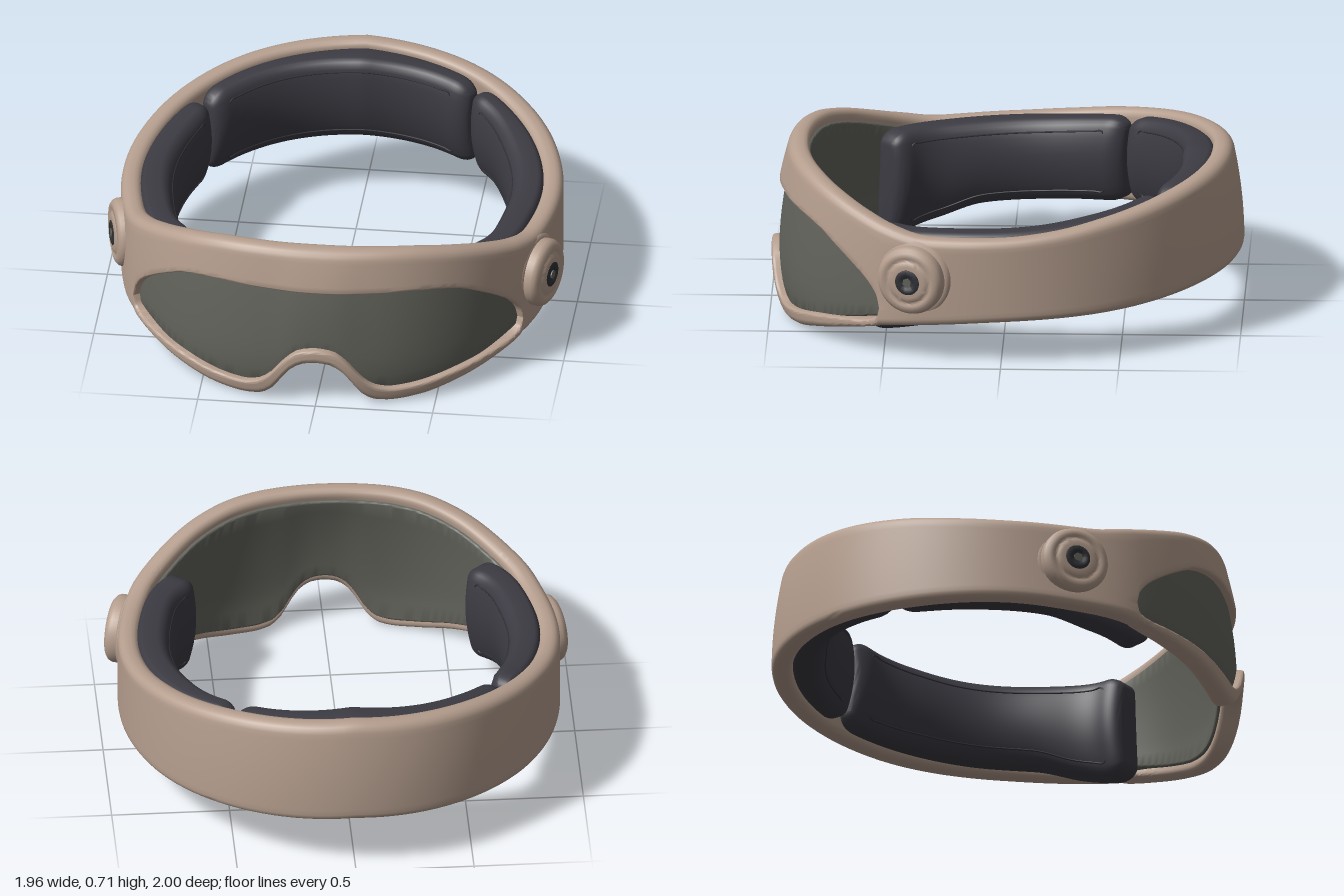
import * as THREE from 'three';
import { mergeGeometries, toCreasedNormals } from 'three/addons/utils/BufferGeometryUtils.js';

const RAD = Math.PI / 180;
const OPEN_END = 58; // half angle of the visor opening, in degrees from the front

// Smooth monotone lookup in a table of [degrees, value]
function lookup(table, a) {
  const n = table.length;
  if (a <= table[0][0]) return table[0][1];
  if (a >= table[n - 1][0]) return table[n - 1][1];
  let i = 0;
  while (table[i + 1][0] < a) i++;
  const slope = (k) => (table[k + 1][1] - table[k][1]) / (table[k + 1][0] - table[k][0]);
  const tangent = (k) => {
    if (k === 0) return 0;
    if (k === n - 1) return slope(n - 2);
    const p = slope(k - 1), q = slope(k);
    return p * q <= 0 ? 0 : (2 * p * q) / (p + q);
  };
  const h = table[i + 1][0] - table[i][0], t = (a - table[i][0]) / h;
  return (1 + 2 * t) * (1 - t) ** 2 * table[i][1] + t * (1 - t) ** 2 * h * tangent(i)
    + t * t * (3 - 2 * t) * table[i + 1][1] + t * t * (t - 1) * h * tangent(i + 1);
}

// Angle folded to 0 (front) .. 180 (back)
const fold = (a) => Math.abs(((a + 540) % 360) - 180);
const curve = (table) => (a) => lookup(table, fold(a));

const bandBottom = curve([[0, .2], [3, .193], [6, .165], [8.7, .11], [11.5, .045], [15, .008], [19, 0], [26, .01],
  [37, .05], [51, .105], [60, .135], [75, .16], [90, .18], [120, .2], [150, .23], [180, .255]]);
const bandTop = curve([[0, .71], [15, .706], [25, .695], [37, .66], [51, .6], [58, .57], [70, .535], [90, .545],
  [105, .568], [120, .605], [150, .67], [180, .705]]);
const openTop = curve([[0, .525], [23, .52], [30, .51], [37, .485], [44, .43], [50, .37], [54, .32], [57, .26], [58, .21]]);
const openBottom = curve([[0, .265], [4, .255], [6, .235], [8.7, .19], [11.5, .13], [15, .085], [19, .07], [24, .075],
  [37, .11], [48, .135], [54, .148], [57, .17], [58, .21]]);
const closedSplit = curve([[58, .21], [70, .3], [90, .36], [180, .48]]);
const padBottom = curve([[50, .08], [65, .12], [80, .18], [100, .2], [180, .28]]);
const padTop = curve([[50, .53], [80, .545], [100, .56], [120, .59], [145, .64], [180, .68]]);
const padInner = curve([[48, .26], [60, .245], [90, .24], [115, .235], [135, .215], [150, .22], [180, .255]]);

// Depth of a cushion's face, which bulges at mid height
function padFace(a, y) {
  const w = (2 * y - padTop(a) - padBottom(a)) / (padTop(a) - padBottom(a));
  return padInner(a) - .045 * w * w;
}

// Point at an angle, a depth inwards from the band's outer face, and a height
function place(a, depth, y) {
  const s = Math.sin(a * RAD), c = Math.cos(a * RAD);
  const n = 2 + .2 * Math.sqrt(Math.max(0, c));
  const r = (Math.abs(s / .935) ** n + Math.abs(c) ** n) ** (-1 / n) + .012 * Math.exp(-(((fold(a) - 62) / 9) ** 2));
  // The band leans in towards its top at the front and back, and below the eyes
  const v = THREE.MathUtils.clamp((y - bandBottom(a)) / (bandTop(a) - bandBottom(a)), 0, 1);
  const under = c > 0 ? .035 * c * c * Math.max(0, 1 - y / .2) ** 2 : 0;
  const d = r - depth - under - (c > 0 ? .08 : .05) * c * c * v * v;
  return new THREE.Vector3(s * d, y, c * d);
}

// Rounded section between two heights and depths, as [depth, y] points
function section(y0, y1, d0, d1, rb, rt) {
  const pts = [];
  const arc = (d, y, r, from) => {
    for (let i = 0; i <= 4; i++) {
      const t = (from + i * 22.5) * RAD;
      pts.push([d - r * Math.cos(t), y + r * Math.sin(t)]);
    }
  };
  const face = (d, from, to) => {
    for (let i = 1; i < 8; i++) pts.push([d, from + (to - from) * i / 8]);
  };
  arc(d0 + rb, y0 + rb, rb, -90);
  face(d0, y0 + rb, y1 - rt);
  arc(d0 + rt, y1 - rt, rt, 0);
  arc(d1 - rt, y1 - rt, rt, 90);
  face(d1, y1 - rt, y0 + rb);
  arc(d1 - rb, y0 + rb, rb, 180);
  return pts;
}

// Sweep a section around the head through the given angles
function sweep(angles, sectionAt, capped) {
  const pos = [], idx = [];
  let m = 0;
  angles.forEach((a) => {
    const ring = sectionAt(a);
    m = ring.length;
    ring.forEach(([d, y]) => pos.push(...place(a, d, y).toArray()));
  });
  for (let i = 0; i < angles.length - 1; i++) {
    for (let j = 0; j < m; j++) {
      const k = (j + 1) % m, p = i * m, q = p + m;
      idx.push(p + j, q + j, q + k, p + j, q + k, p + k);
    }
  }
  if (capped) {
    const last = (angles.length - 1) * m;
    for (let j = 1; j < m - 1; j++) idx.push(0, j, j + 1, last, last + j + 1, last + j);
  }
  const g = new THREE.BufferGeometry();
  g.setAttribute('position', new THREE.Float32BufferAttribute(pos, 3));
  g.setIndex(idx);
  return g;
}

const steps = (n, f) => Array.from({ length: n + 1 }, (_, i) => f(i / n));

export function createModel() {
  const model = new THREE.Group();
  const material = (name, color) => {
    const m = new THREE.MeshStandardMaterial({ color });
    m.name = name;
    return m;
  };
  const tan = material('tan shell', 0xb59e8e);
  const grey = material('grey lens', 0x62635b);
  const dark = material('dark padding', 0x3c3b43);
  const charcoal = material('charcoal trim', 0x303136);
  const add = (parent, name, geometry, mat) => {
    const mesh = new THREE.Mesh(geometry, mat);
    mesh.name = name;
    parent.add(mesh);
    return mesh;
  };

  // Headband and visor frame: upper and lower strips that part around the opening
  const around = [...steps(110, (t) => OPEN_END * Math.sin((t - .5) * Math.PI)),
    ...steps(82, (t) => OPEN_END + t * (360 - 2 * OPEN_END)).slice(1)];
  const strip = (upper) => sweep(around, (a) => {
    const open = fold(a) < OPEN_END - .001;
    const edge = open ? (upper ? openTop(a) : openBottom(a)) : closedSplit(a);
    const bevel = open ? Math.min(.014, (openTop(a) - openBottom(a)) / 4) : 0;
    return upper ? section(edge, bandTop(a), 0, .09, bevel, .036)
      : section(bandBottom(a), edge, 0, .09, Math.min(.03, (edge - bandBottom(a)) * .45), bevel);
  });
  add(model, 'headband', toCreasedNormals(mergeGeometries([strip(true), strip(false)]), .8), tan);

  // Lens, which also lines the inside of the frame
  const lens = sweep(steps(100, (t) => -60 + 120 * t),
    (a) => section(bandBottom(a) + .04, bandTop(a) - .05, .032, .105, .012, .012), true);
  add(model, 'lens', toCreasedNormals(lens, .8), grey);

  // Cushions with a seam line; their ends round off and thin out
  const addPad = (name, from, to) => {
    const pad = new THREE.Group();
    pad.name = name;
    const geometry = sweep(steps(64, (t) => from + (to - from) * (1 - Math.cos(t * Math.PI)) / 2), (a) => {
      const t = Math.min(1, Math.min(a - from, to - a) / 6);
      const k = Math.sqrt(Math.max(0, 1 - (1 - t) ** 2));
      const inset = (1 - k) * .06;
      const r = .01 + .03 * k;
      const d1 = padInner(a) - .055 * (1 - k);
      return section(padBottom(a) + inset, padTop(a) - inset, .08 + .05 * (1 - k), d1, r, r)
        .map(([d, y]) => [d + (padFace(a, y) - padInner(a)) * Math.max(0, (d - .08) / (d1 - .08)), y]);
    }, true);
    add(pad, 'cushion', toCreasedNormals(geometry, 1), dark);
    const line = (y) => steps(24, (t) => from + 6.5 + (to - from - 13) * t)
      .map((a) => place(a, padFace(a, y(a)), y(a)));
    const path = [...line((a) => padTop(a) - .05), ...line((a) => padBottom(a) + .05).reverse()];
    add(pad, 'seam', new THREE.TubeGeometry(new THREE.CatmullRomCurve3(path, true), 160, .004, 6, true), charcoal);
    model.add(pad);
  };
  addPad('leftPad', 49, 143);
  addPad('backPad', 144, 231.5);
  addPad('rightPad', 232.8, 311);

  // Side knobs: housing, rounded dial and hub
  const lathe = (points) => toCreasedNormals(
    new THREE.LatheGeometry(points.map(([x, y]) => new THREE.Vector2(x, y)), 40), .9);
  const addKnob = (name, position, normal) => {
    const knob = new THREE.Group();
    knob.name = name;
    add(knob, 'housing', lathe([[.17, -.055], [.168, -.03], [.162, -.01], [.15, 0], [.13, 0]]), tan);
    add(knob, 'dial', lathe([[.14, -.03], [.146, .005], [.146, .03], [.14, .045], [.126, .056], [.106, .06],
      [.098, .054], [.092, .054], [.086, .06], [.07, .064], [.054, .064], [.05, .058], [0, .058]]), tan);
    add(knob, 'hub', lathe([[.054, .056], [.054, .065], [.046, .068], [.03, .068], [.026, .064], [0, .064]]), charcoal);
    const bolt = add(knob, 'bolt', new THREE.CylinderGeometry(.02, .02, .012, 6), grey);
    bolt.position.y = .063;
    knob.position.set(...position);
    knob.quaternion.setFromUnitVectors(new THREE.Vector3(0, 1, 0), new THREE.Vector3(...normal).normalize());
    model.add(knob);
  };
  addKnob('leftKnob', [.88, .36, .375], [.94, 0, .34]);
  addKnob('rightKnob', [-.89, .36, .245], [-.955, 0, .3]);

  return model;
}
